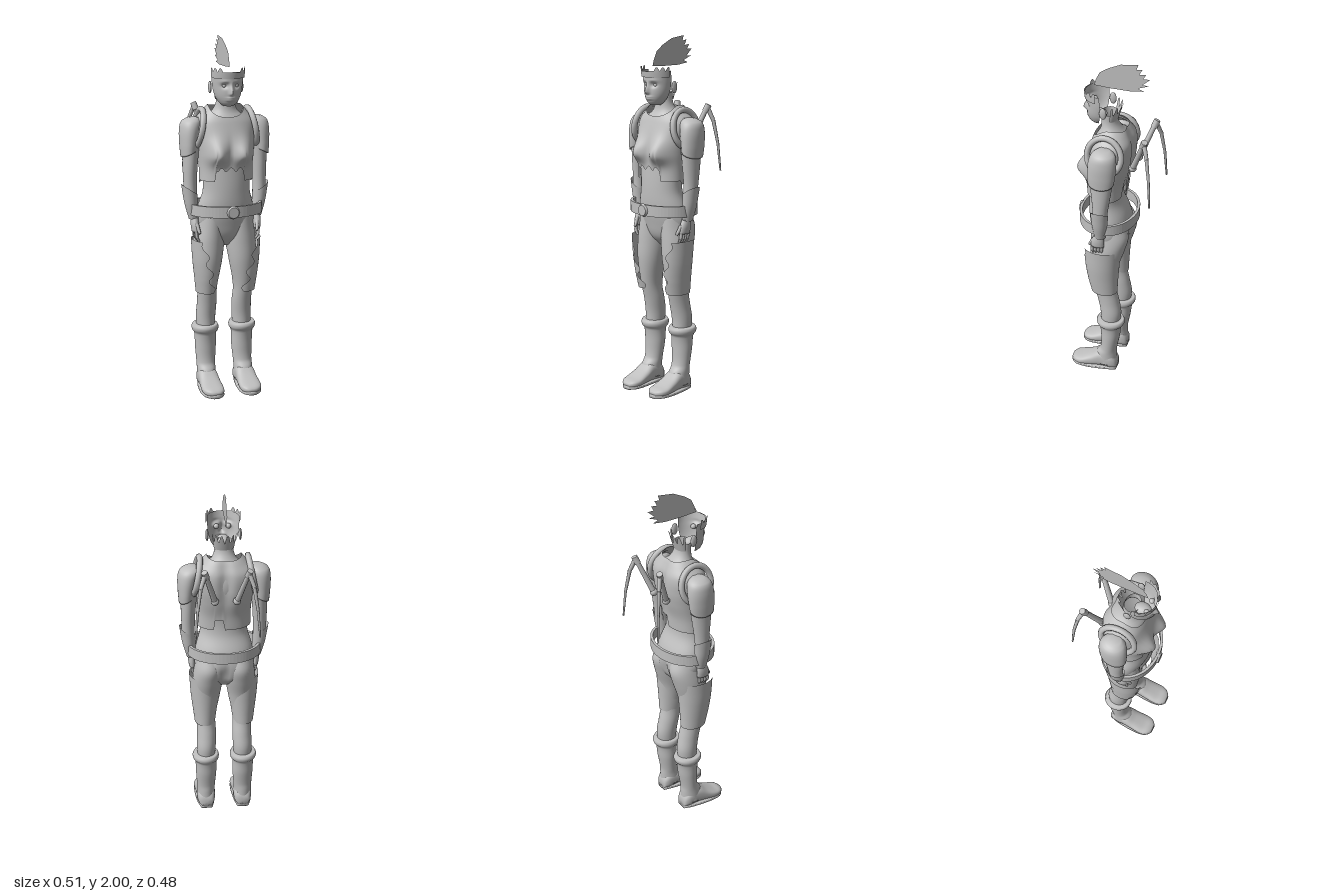
import * as THREE from 'three';
import { mergeVertices } from 'three/addons/utils/BufferGeometryUtils.js';

const grey = new THREE.MeshStandardMaterial({ color: 0xc0c0c0, side: THREE.DoubleSide });
grey.name = 'plain grey';
const { sin, cos, abs, exp, PI } = Math;
const V = (x, y, z) => new THREE.Vector3(x, y, z);
const hill = (d, w) => exp(-((d / w) ** 2));

function add(parent, name, geometry, x = 0, y = 0, z = 0) {
  const mesh = new THREE.Mesh(geometry, grey);
  mesh.name = name;
  mesh.position.set(x, y, z);
  parent.add(mesh);
  return mesh;
}

// Smooth interpolation of cross-sections [y, centreX, radiusX, zBack, zFront]
function section(S, y) {
  let i = 0;
  while (i < S.length - 2 && y > S[i + 1][0]) i++;
  const a = S[i], b = S[i + 1], h = b[0] - a[0];
  const t = Math.min(1, Math.max(0, (y - a[0]) / h));
  const slope = (j, k) => {
    const p = S[Math.max(0, j - 1)], q = S[Math.min(S.length - 1, j + 1)];
    return (q[k] - p[k]) / (q[0] - p[0]);
  };
  return [1, 2, 3, 4].map((k) => {
    const t2 = t * t, t3 = t2 * t;
    return (2 * t3 - 3 * t2 + 1) * a[k] + (3 * t2 - 2 * t3) * b[k]
      + h * ((t3 - 2 * t2 + t) * slope(i, k) + (t3 - t2) * slope(i + 1, k));
  });
}

// Skin over cross-sections; angle 0 is +x and 90 degrees is the front
function loft(S, o = {}) {
  const { nu = 40, nv = 24, cap = false, power = 1, bump } = o;
  const from = o.from ?? (() => 0), to = o.to ?? (() => 2 * PI);
  const lo = o.lo ?? (() => S[0][0]), hi = o.hi ?? (() => S[S.length - 1][0]);
  const pos = [], index = [], first = cap ? -1 : 0, last = cap ? nv + 1 : nv;
  const bend = (c) => Math.sign(c) * abs(c) ** power;
  for (let j = first; j <= last; j++) {
    const v = Math.min(1, Math.max(0, j / nv)), k = j < 0 || j > nv ? 0 : 1;
    for (let i = 0; i <= nu; i++) {
      const a0 = from(v), a = a0 + (to(v) - a0) * i / nu;
      const y = lo(a) + (hi(a) - lo(a)) * v;
      const [cx, rx, zb, zf] = section(S, y);
      const p = V(cx + k * rx * bend(cos(a)), y, (zb + zf) / 2 + k * (zf - zb) / 2 * bend(sin(a)));
      if (bump) bump(p, a);
      pos.push(p.x, p.y, p.z);
    }
  }
  const w = nu + 1;
  for (let j = 0; j < last - first; j++) for (let i = 0; i < nu; i++) {
    const a = j * w + i, b = a + w;
    index.push(a, b, a + 1, a + 1, b, b + 1);
  }
  let g = new THREE.BufferGeometry();
  g.setAttribute('position', new THREE.Float32BufferAttribute(pos, 3));
  g.setIndex(index);
  g = mergeVertices(g, 1e-5);
  g.computeVertexNormals();
  return g;
}

// Tapered rod between two points
function rod(parent, name, a, b, ra, rb) {
  const d = b.clone().sub(a), m = a.clone().add(b).multiplyScalar(0.5);
  const mesh = add(parent, name, new THREE.CylinderGeometry(rb, ra, d.length(), 8), m.x, m.y, m.z);
  mesh.quaternion.setFromUnitVectors(V(0, 1, 0), d.normalize());
  return mesh;
}

function buildHead(g) {
  const face = [[1.632, 0, 0.03, 0.06, 0.135], [1.65, 0, 0.05, 0.03, 0.152], [1.69, 0, 0.072, 0, 0.162],
    [1.75, 0, 0.084, -0.01, 0.163], [1.82, 0, 0.088, -0.01, 0.172]];
  add(g, 'face', loft(face, {
    nu: 72, nv: 48, from: () => -0.1, to: () => PI + 0.1,
    bump: (p, a) => {
      if (sin(a) < 0.5) return;
      const x = abs(p.x);
      p.z += 0.024 * hill(x, 0.012) * hill(p.y - 1.705, p.y > 1.705 ? 0.04 : 0.012);
      p.z -= 0.014 * hill(x - 0.033, 0.018) * hill(p.y - 1.745, 0.014);
      p.z += 0.007 * hill(x, 0.025) * (hill(p.y - 1.679, 0.006) + hill(p.y - 1.667, 0.006));
      p.z += 0.004 * hill(x - 0.035, 0.025) * hill(p.y - 1.768, 0.01);
    },
  }));
  // Band with raised jagged ends
  const band = face.map(([y, c, r, b, f]) => [y, c, r + 0.007, b - 0.004, f + 0.007]);
  band.push([1.86, 0, 0.095, -0.014, 0.18]);
  add(g, 'headband', loft(band, {
    nu: 72, nv: 4, from: () => 0.1, to: () => PI - 0.1, lo: () => 1.785,
    hi: (a) => 1.818 + (abs(cos(a)) > 0.5 ? 0.024 * abs(sin(a * 9)) : 0),
  }));
  add(g, 'mouthCavity', new THREE.SphereGeometry(1, 16, 10), 0, 1.68, 0.1).scale.set(0.036, 0.026, 0.046);
  for (const s of [-1, 1]) {
    add(g, 'eye', new THREE.SphereGeometry(0.015, 16, 12), s * 0.033, 1.745, 0.133);
    add(g, 'ear', new THREE.SphereGeometry(1, 12, 10), s * 0.09, 1.73, 0.05).scale.set(0.009, 0.034, 0.02);
  }
  add(g, 'napeHair', loft([[1.66, 0, 0.055, -0.005, 0.07], [1.77, 0, 0.07, -0.04, 0.08]], {
    nu: 40, nv: 4, from: () => PI * 1.05, to: () => PI * 1.95,
    hi: (a) => 1.70 + 0.055 * abs(sin(a * 6)),
  }));
  // Plume standing in the middle plane
  const plume = [[0.127, 1.844], [0.116, 1.88], [0.095, 1.923], [0.048, 1.955], [-0.02, 1.987], [-0.116, 2],
    [-0.106, 1.97], [-0.138, 1.976], [-0.122, 1.945], [-0.159, 1.95], [-0.143, 1.923], [-0.18, 1.923],
    [-0.138, 1.886], [-0.175, 1.886], [-0.116, 1.862], [-0.148, 1.849], [-0.074, 1.839], [0.03, 1.839]];
  const shape = new THREE.Shape(plume.map(([z, y]) => new THREE.Vector2(-z, y)));
  add(g, 'plume', new THREE.ShapeGeometry(shape).rotateY(PI / 2));
}

function buildTorso(g) {
  add(g, 'body', loft([[0.84, 0, 0.05, -0.03, 0.06], [0.89, 0, 0.13, -0.07, 0.105], [0.97, 0, 0.168, -0.088, 0.13],
    [1.06, 0, 0.16, -0.07, 0.148], [1.16, 0, 0.133, -0.035, 0.152], [1.28, 0, 0.138, -0.04, 0.148],
    [1.45, 0, 0.15, -0.085, 0.14], [1.55, 0, 0.13, -0.075, 0.115], [1.595, 0, 0.075, -0.035, 0.09],
    [1.64, 0, 0.053, -0.008, 0.083], [1.7, 0, 0.052, 0, 0.085]], {
    nv: 60, bump: (p, a) => {
      if (sin(a) < 0) p.z += 0.025 * hill(p.x, 0.025) * hill(p.y - 0.92, 0.07);
    },
  }));
  add(g, 'vest', loft([[1.19, 0, 0.15, -0.05, 0.16], [1.28, 0, 0.15, -0.06, 0.157], [1.37, 0, 0.157, -0.085, 0.157],
    [1.45, 0, 0.167, -0.1, 0.153], [1.54, 0, 0.17, -0.1, 0.13], [1.595, 0, 0.125, -0.078, 0.108],
    [1.635, 0, 0.09, -0.055, 0.09]], {
    nu: 96, nv: 48, power: 0.9,
    lo: (a) => {
      const c = cos(a);
      if (sin(a) > 0) return abs(c) < 0.5 ? 1.285 + 0.012 * cos(c * 20) : 1.22;
      return c > 0 && c < 0.35 ? 1.265 : 1.2;
    },
    hi: (a) => (sin(a) > 0 ? 1.63 - 0.06 * sin(a) ** 2 : 1.63 - 0.012 * sin(a) ** 2),
    bump: (p, a) => {
      const up = p.y - 1.365;
      if (sin(a) > 0) p.z += 0.058 * hill(abs(p.x) - 0.075, 0.055) * hill(up, up > 0 ? 0.075 : 0.05);
      else p.z += 0.02 * hill(p.x, 0.035) * hill(p.y - 1.5, 0.15);
    },
  }));
  // Belt ring and round buckle
  const ring = new THREE.Shape().absellipse(0, 0, 0.208, 0.165, 0, 2 * PI);
  ring.holes.push(new THREE.Path().absellipse(0, 0, 0.193, 0.15, 0, 2 * PI, true));
  const belt = new THREE.ExtrudeGeometry(ring, { depth: 0.062, bevelEnabled: false, curveSegments: 32 });
  add(g, 'belt', belt.rotateX(-PI / 2), 0, 1.026, 0.04);
  add(g, 'buckle', new THREE.CylinderGeometry(0.03, 0.038, 0.014, 12).rotateX(PI / 2), 0, 1.055, 0.207);
}

function buildArm(g) {
  add(g, 'arm', loft([[1.0, 0.18, 0.022, 0.02, 0.075], [1.1, 0.197, 0.034, 0, 0.075], [1.2, 0.2, 0.037, -0.012, 0.075],
    [1.32, 0.198, 0.042, -0.03, 0.085], [1.45, 0.19, 0.05, -0.045, 0.09], [1.53, 0.17, 0.045, -0.035, 0.075]],
  { cap: true }));
  add(g, 'shoulderGuard', loft([[1.35, 0.208, 0.042, -0.042, 0.096], [1.42, 0.206, 0.049, -0.053, 0.1],
    [1.5, 0.198, 0.057, -0.057, 0.096], [1.545, 0.188, 0.054, -0.045, 0.08], [1.565, 0.178, 0.03, -0.015, 0.055]],
  { cap: true, lo: (a) => 1.35 + 0.04 * (1 - cos(a)) / 2 }));
  add(g, 'gauntlet', loft([[1.0, 0.183, 0.027, 0.01, 0.07], [1.08, 0.196, 0.036, -0.004, 0.08],
    [1.15, 0.202, 0.042, -0.012, 0.085], [1.2, 0.206, 0.045, -0.018, 0.088]],
  { hi: (a) => 1.165 + 0.03 * cos(a) }));
  // Arm-hole rim
  const loop = [];
  for (let i = 0; i < 12; i++) {
    const a = i * PI / 6;
    loop.push(V(0.152 - 0.02 * sin(a), 1.505 + 0.103 * sin(a), 0.025 + 0.095 * cos(a)));
  }
  add(g, 'armholeRim', new THREE.TubeGeometry(new THREE.CatmullRomCurve3(loop, true), 40, 0.017, 8, true));
  // Hand with slightly curled fingers
  add(g, 'palm', loft([[0.93, 0.178, 0.019, 0.02, 0.095], [0.97, 0.18, 0.022, 0.018, 0.09],
    [1.02, 0.18, 0.02, 0.022, 0.07]], { cap: true, nu: 20, nv: 8 }));
  for (let i = 0; i < 4; i++) {
    const z = 0.03 + i * 0.018;
    rod(g, 'finger', V(0.18, 0.94, z), V(0.178, 0.9, z + 0.006), 0.01, 0.009);
    rod(g, 'fingerTip', V(0.178, 0.902, z + 0.006), V(0.163, 0.875, z + 0.004), 0.009, 0.006);
  }
  rod(g, 'thumb', V(0.175, 0.975, 0.08), V(0.165, 0.925, 0.108), 0.012, 0.008);
}

function buildLeg(g) {
  add(g, 'leg', loft([[0.34, 0.107, 0.05, -0.05, 0.06], [0.42, 0.106, 0.055, -0.058, 0.063], [0.5, 0.103, 0.055, -0.045, 0.077],
    [0.6, 0.105, 0.055, -0.028, 0.1], [0.75, 0.1, 0.077, -0.04, 0.122], [0.87, 0.092, 0.087, -0.075, 0.124],
    [0.95, 0.085, 0.083, -0.092, 0.122], [1.02, 0.08, 0.075, -0.07, 0.12]], { nv: 40, cap: true }));
  // Thigh plate with a jagged front edge
  add(g, 'thighPlate', loft([[0.575, 0.111, 0.059, -0.036, 0.115], [0.66, 0.11, 0.07, -0.04, 0.135],
    [0.76, 0.109, 0.082, -0.047, 0.15], [0.885, 0.108, 0.09, -0.058, 0.158]], {
    nu: 56, nv: 40, from: () => -PI * 0.97,
    to: (v) => 1.95 - 0.95 * v + 0.3 * sin(v * 19) * (1 - v * 0.6),
    hi: (a) => 0.875 + 0.012 * cos(a),
  }));
  add(g, 'boot', loft([[0.04, 0.11, 0.054, -0.034, 0.1], [0.11, 0.11, 0.053, -0.034, 0.09], [0.15, 0.109, 0.054, -0.034, 0.065],
    [0.24, 0.108, 0.06, -0.05, 0.06], [0.325, 0.109, 0.063, -0.062, 0.068], [0.338, 0.109, 0.073, -0.074, 0.08],
    [0.36, 0.11, 0.077, -0.08, 0.086], [0.376, 0.11, 0.07, -0.072, 0.078]], { nv: 44, cap: true }));
  // Foot is skinned along its length, then laid flat
  add(g, 'foot', loft([[-0.036, 0.108, 0.035, -0.07, -0.01], [-0.01, 0.109, 0.05, -0.11, -0.008], [0.06, 0.11, 0.055, -0.125, -0.012],
    [0.12, 0.11, 0.059, -0.088, -0.01], [0.18, 0.11, 0.062, -0.06, -0.008], [0.22, 0.108, 0.05, -0.05, -0.01],
    [0.24, 0.106, 0.026, -0.038, -0.016]], { cap: true, power: 0.75 }).rotateX(PI / 2));
  add(g, 'sole', loft([[-0.036, 0.108, 0.035, -0.022, 0], [0.02, 0.11, 0.05, -0.022, 0], [0.15, 0.11, 0.063, -0.022, 0],
    [0.215, 0.108, 0.053, -0.022, 0], [0.242, 0.106, 0.024, -0.022, 0]],
  { cap: true, power: 0.5, nv: 16 }).rotateX(PI / 2));
}

function buildBackArm(g) {
  const base = V(0.06, 1.405, -0.108), apex = V(0.117, 1.605, -0.185);
  add(g, 'backMount', new THREE.SphereGeometry(0.022, 12, 8), base.x, base.y, base.z);
  rod(g, 'backStrut', base, apex, 0.017, 0.013);
  rod(g, 'backJoint', V(0.11, 1.58, -0.176), V(0.122, 1.618, -0.19), 0.018, 0.018);
  const pts = [apex, V(0.143, 1.53, -0.208), V(0.162, 1.4, -0.226), V(0.174, 1.245, -0.236)];
  pts.slice(1).forEach((p, i) => rod(g, 'backBlade', pts[i], p, 0.014 - i * 0.003, 0.011 - i * 0.003));
}

export function createModel() {
  const model = new THREE.Group();
  model.name = 'armouredFigure';
  buildHead(model);
  buildTorso(model);
  for (const s of [1, -1]) {
    const side = new THREE.Group();
    side.name = s > 0 ? 'leftLimbs' : 'rightLimbs';
    side.scale.x = s;
    buildArm(side);
    buildLeg(side);
    buildBackArm(side);
    model.add(side);
  }
  return model;
}
